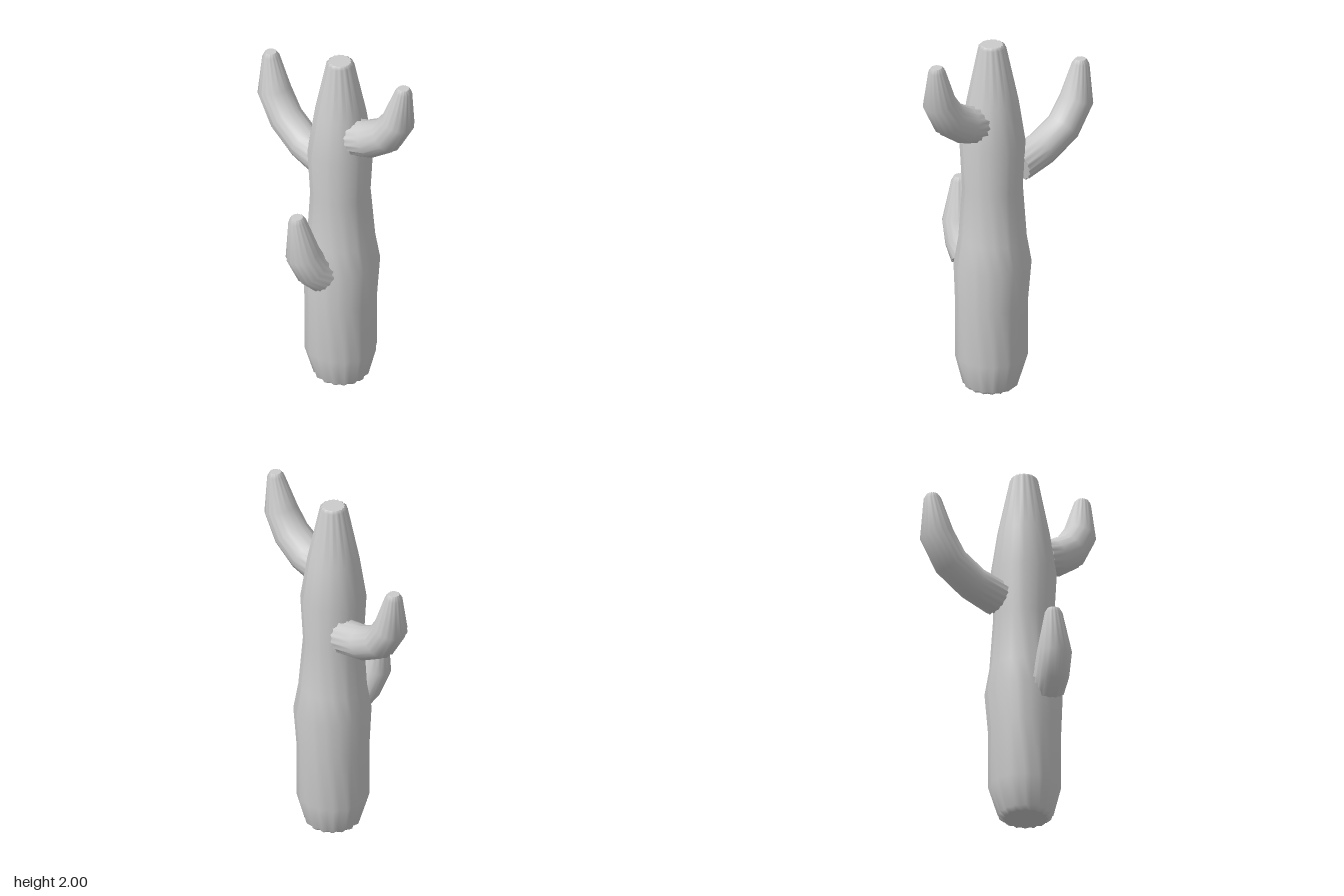
import * as THREE from 'three';

const RIBS = 16;

// Ribbed tube through rings [x, y, z, radius], with capped ends.
function ribbedTube(name, rings, material) {
  const seg = RIBS * 2;
  const pos = [], index = [];
  const centres = rings.map(([x, y, z]) => new THREE.Vector3(x, y, z));
  const last = rings.length - 1;

  // sideways axis shared by all rings, so that the tube does not twist
  const lean = centres[last].clone().sub(centres[0]).setY(0);
  const side = lean.length() < 0.05
    ? new THREE.Vector3(0, 0, 1)
    : new THREE.Vector3(0, 1, 0).cross(lean).normalize();

  const addRing = (i) => {
    const t = centres[Math.min(i + 1, last)].clone().sub(centres[Math.max(i - 1, 0)]);
    t.addScaledVector(side, -t.dot(side)).normalize();
    const v = t.clone().cross(side);
    const start = pos.length / 3;
    for (let j = 0; j < seg; j++) {
      const a = (j / seg) * Math.PI * 2;
      const r = rings[i][3] * (j % 2 ? 0.91 : 1.02); // crest, valley
      const p = centres[i].clone()
        .addScaledVector(side, r * Math.cos(a))
        .addScaledVector(v, r * Math.sin(a));
      pos.push(p.x, p.y, p.z);
    }
    return start;
  };

  const starts = rings.map((_, i) => addRing(i));
  for (let i = 0; i < last; i++) {
    for (let j = 0; j < seg; j++) {
      const k = (j + 1) % seg;
      const a = starts[i] + j, b = starts[i] + k;
      const c = starts[i + 1] + k, d = starts[i + 1] + j;
      index.push(a, b, d, b, c, d);
    }
  }

  // flat caps with their own vertices
  for (const i of [0, last]) {
    const s = addRing(i), m = pos.length / 3;
    pos.push(...centres[i].toArray());
    for (let j = 0; j < seg; j++) {
      const k = (j + 1) % seg;
      if (i === 0) index.push(m, s + k, s + j);
      else index.push(m, s + j, s + k);
    }
  }

  const geometry = new THREE.BufferGeometry();
  geometry.setAttribute('position', new THREE.Float32BufferAttribute(pos, 3));
  geometry.setIndex(index);
  geometry.computeVertexNormals();
  const mesh = new THREE.Mesh(geometry, material);
  mesh.name = name;
  return mesh;
}

export function createModel() {
  const group = new THREE.Group();
  group.name = 'cactus';
  const material = new THREE.MeshStandardMaterial({ color: 0xcccccc });

  // Trunk: swells low down, narrows at the waist, tapers to the tip
  const trunk = [
    [0.015, 0, 0.09, 0.12],
    [0.015, 0.02, 0.09, 0.145],
    [0.012, 0.18, 0.085, 0.19],
    [0.012, 0.5, 0.085, 0.19],
    [0.015, 0.72, 0.08, 0.203],
    [0.014, 0.87, 0.08, 0.178],
    [0.01, 1.16, 0.08, 0.158],
    [0.01, 1.42, 0.08, 0.172],
    [0.01, 1.66, 0.08, 0.136],
    [0.009, 1.97, 0.082, 0.073],
    [0.009, 1.985, 0.082, 0.06],
  ];

  // Arms: leave the trunk sideways and curve upwards
  const upperArm = [
    [0.08, 1.555, 0.17, 0.098],
    [0.15, 1.585, 0.24, 0.1],
    [0.23, 1.66, 0.325, 0.096],
    [0.285, 1.78, 0.38, 0.088],
    [0.312, 1.975, 0.395, 0.045],
    [0.313, 1.998, 0.395, 0.03],
  ];
  const backArm = [
    [-0.05, 1.255, -0.06, 0.095],
    [-0.15, 1.295, -0.19, 0.092],
    [-0.235, 1.38, -0.31, 0.092],
    [-0.29, 1.515, -0.385, 0.09],
    [-0.305, 1.715, -0.408, 0.046],
    [-0.306, 1.74, -0.408, 0.03],
  ];
  const lowerArm = [
    [-0.09, 0.7, 0.2, 0.092],
    [-0.155, 0.765, 0.225, 0.094],
    [-0.207, 0.875, 0.24, 0.092],
    [-0.236, 1.085, 0.235, 0.047],
    [-0.237, 1.11, 0.235, 0.032],
  ];

  group.add(
    ribbedTube('trunk', trunk, material),
    ribbedTube('upperFrontArm', upperArm, material),
    ribbedTube('backArm', backArm, material),
    ribbedTube('lowerFrontArm', lowerArm, material),
  );
  return group;
}
